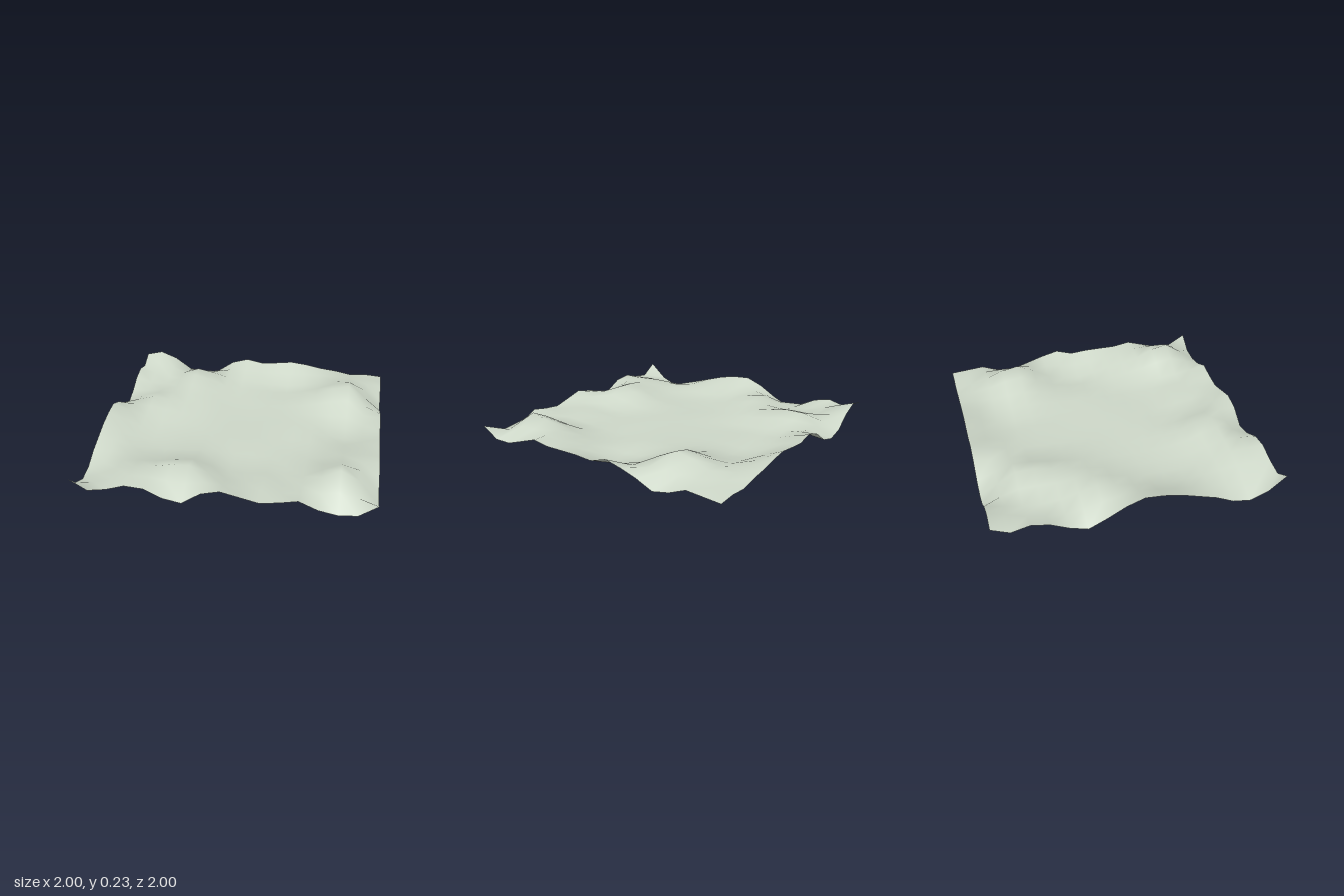
import * as THREE from 'three';

const N = 16; // cells per side

// Heights (hundredths) along the four borders, every 0.125 units
const back = [17, 20, 15, 6, 3, 6, 14.5, 18, 15.5, 16.5, 18, 16.5, 14, 12.5, 10, 11, 10];
const front = [15.5, 8, 10, 14, 13, 7, 4.5, 13, 16, 13, 10, 11.5, 14, 8.5, 6, 7, 15.5];
const left = [17, 11.5, 14.5, 12, 6, 2, 8, 15, 19.5, 18.5, 16, 12, 8, 2, 0, 5, 15.5];
const right = [10, 11, 12, 7, 4.5, 10, 14, 17, 13, 14, 14, 14, 16, 12, 8, 8, 15.5];

// Hills and hollows inside, every 0.25 units, back to front
const inner = [
  [9, 18, 11.5, 9, 7.5, 12, 16],
  [9, 15.5, 8.5, 8, 8, 14, 23],
  [15, 11, 7.5, 7, 7.5, 9, 9.5],
  [10.5, 7, 7, 7, 7.5, 7.5, 4.5],
  [7, 6, 7, 7.5, 7, 6.5, 10],
  [8, 7.5, 10, 6.5, 7, 8.5, 15],
  [11, 15, 18, 9.5, 10.5, 9.5, 23.5],
];

// Fills the odd entries of a line from its even neighbours with a cubic
function fillOdd(get, set) {
  for (let i = 1; i < N; i += 2) {
    const a = get(i - 1), b = get(i + 1);
    const before = i > 2 ? get(i - 3) : a;
    const after = i < N - 2 ? get(i + 3) : b;
    set(i, (9 * (a + b) - before - after) / 16);
  }
}

function heightField() {
  const h = Array.from({ length: N + 1 }, () => new Array(N + 1).fill(0));
  const setBorders = () => {
    for (let i = 0; i <= N; i++) {
      h[i][0] = left[i];
      h[i][N] = right[i];
    }
    for (let i = 0; i <= N; i++) {
      h[0][i] = back[i];
      h[N][i] = front[i];
    }
  };
  setBorders();
  inner.forEach((row, r) => row.forEach((v, c) => { h[2 * r + 2][2 * c + 2] = v; }));
  for (let r = 2; r < N; r += 2) fillOdd((i) => h[r][i], (i, v) => { h[r][i] = v; });
  for (let c = 1; c < N; c++) fillOdd((i) => h[i][c], (i, v) => { h[i][c] = v; });
  setBorders();
  return h;
}

export function createModel() {
  const group = new THREE.Group();
  group.name = 'terrainPatch';

  const ground = new THREE.MeshStandardMaterial({ color: 0xced8c9, side: THREE.DoubleSide });
  ground.name = 'paleGreyGreen';

  // Rolling sheet with rising and falling borders
  const h = heightField();
  const positions = [], index = [];
  for (let r = 0; r <= N; r++) {
    for (let c = 0; c <= N; c++) {
      positions.push((2 * c) / N - 1, h[r][c] / 100, (2 * r) / N - 1);
      if (r < N && c < N) {
        const a = r * (N + 1) + c, b = a + N + 1;
        index.push(a, b, b + 1, a, b + 1, a + 1);
      }
    }
  }
  const geometry = new THREE.BufferGeometry();
  geometry.setAttribute('position', new THREE.Float32BufferAttribute(positions, 3));
  geometry.setIndex(index);
  geometry.computeVertexNormals();

  const sheet = new THREE.Mesh(geometry, ground);
  sheet.name = 'groundSurface';
  group.add(sheet);
  return group;
}
